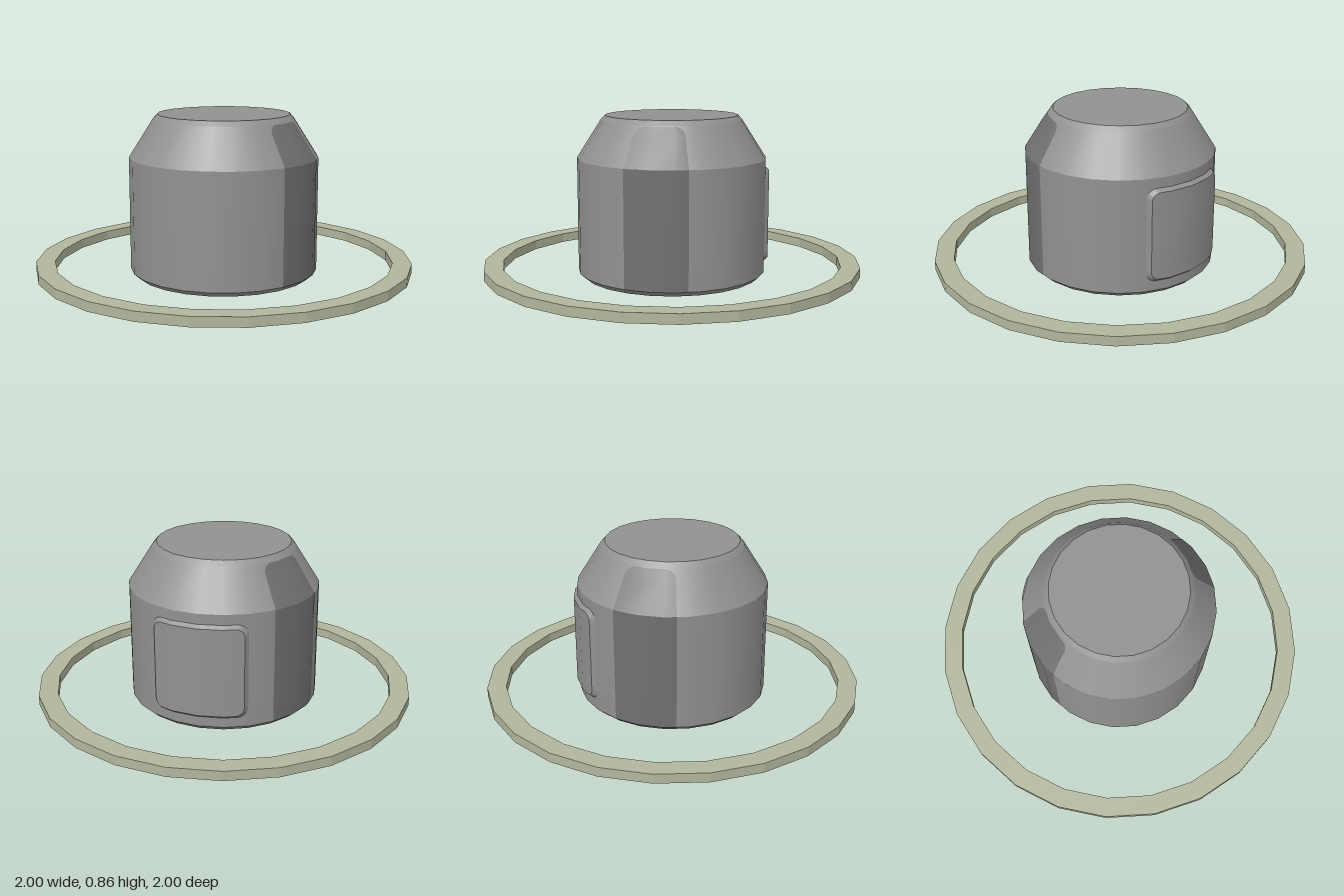
import * as THREE from 'three';

const SIDES = 24;
const STEP = Math.PI * 2 / SIDES;
const DEG = Math.PI / 180;

// point on the faceted 24-sided body: r is the corner radius, a is measured from +z towards +x
function onBody(a, y, r) {
  const off = a - Math.floor(a / STEP + 1e-6) * STEP - STEP / 2;
  const d = r * Math.cos(STEP / 2) / Math.cos(off);
  return [d * Math.sin(a), y, d * Math.cos(a)];
}

// grid of points; each row is { y, r, inset }, columns follow the facet corners
function makeGrid(rows, knots) {
  const first = knots[0], last = knots[knots.length - 1];
  return rows.map(({ y, r, inset }) =>
    knots.map(a => onBody(Math.min(Math.max(a, first + inset), last - inset), y, r)));
}

function gridGeometry(grid) {
  const n = grid[0].length, index = [];
  for (let i = 0; i < grid.length - 1; i++) {
    for (let j = 0; j < n - 1; j++) {
      const a = i * n + j, b = a + n;
      index.push(a, a + 1, b + 1, a, b + 1, b);
    }
  }
  const geo = new THREE.BufferGeometry();
  geo.setAttribute('position', new THREE.Float32BufferAttribute(grid.flat(2), 3));
  geo.setIndex(index);
  geo.computeVertexNormals();
  return geo;
}

// closed outline of a grid, anticlockwise from outside
function outline(grid) {
  const top = grid.length - 1, n = grid[0].length;
  return [
    ...grid[0],
    ...grid.slice(1, top).map(row => row[n - 1]),
    ...[...grid[top]].reverse(),
    ...grid.slice(1, top).map(row => row[0]).reverse(),
  ];
}

function loftGeometry(outer, inner) {
  const pos = [];
  outer.forEach((p, i) => {
    const k = (i + 1) % outer.length;
    pos.push(...p, ...outer[k], ...inner[k], ...p, ...inner[k], ...inner[i]);
  });
  const geo = new THREE.BufferGeometry();
  geo.setAttribute('position', new THREE.Float32BufferAttribute(pos, 3));
  geo.computeVertexNormals();
  return geo;
}

// offsets along and across a rounded corner of radius c
const corner = c => [0, 1, 2, 3, 4, 5].map(i => {
  const t = i / 5 * Math.PI / 2;
  return { along: c * (1 - Math.cos(t)), across: c * (1 - Math.sin(t)) };
});

function roundedRows(y0, y1, r, c) {
  const low = corner(c).map(k => ({ y: y0 + k.along, r, inset: k.across / r }));
  const high = corner(c).map(k => ({ y: y1 - k.along, r, inset: k.across / r })).reverse();
  return [...low, ...high];
}

export function createModel() {
  const model = new THREE.Group();
  const bodyGrey = new THREE.MeshStandardMaterial({ color: 0x919190 });
  bodyGrey.name = 'body grey';
  const panelGrey = new THREE.MeshStandardMaterial({ color: 0x707070 });
  panelGrey.name = 'dark panel grey';
  const ringGreen = new THREE.MeshStandardMaterial({ color: 0xb2b69c });
  ringGreen.name = 'pale olive';

  const add = (name, geo, mat, parent = model) => {
    const mesh = new THREE.Mesh(geo, mat);
    mesh.name = name;
    parent.add(mesh);
    return mesh;
  };

  // body: stacked faceted sections with hard edges between them
  const body = new THREE.Group();
  body.name = 'body';
  model.add(body);
  const profile = [[0.47, 0], [0.5, 0.027], [0.5, 0.63], [0.373, 0.83], [0.35, 0.855]];
  const names = ['bottomChamfer', 'wall', 'shoulder', 'topChamfer'];
  names.forEach((name, i) => {
    const [r0, y0] = profile[i], [r1, y1] = profile[i + 1];
    add(name, new THREE.CylinderGeometry(r1, r0, y1 - y0, SIDES, 1, true), bodyGrey, body)
      .position.y = (y0 + y1) / 2;
  });
  const lid = add('topFace', new THREE.CircleGeometry(0.35, SIDES), bodyGrey, body);
  lid.rotation.x = -Math.PI / 2;
  lid.position.y = 0.855;
  const base = add('bottomFace', new THREE.CircleGeometry(0.47, SIDES), bodyGrey, body);
  base.rotation.x = Math.PI / 2;

  // two dark panels, opposite each other, wrapping up over the shoulder
  const knots = [45, 60, 75, 82.5].map(d => d * DEG);
  const lift = 0.002;
  const wallRows = [0.027, 0.63].map(y => ({ y, r: 0.5 + lift, inset: 0 }));
  const shoulderRows = [{ y: 0.63, r: 0.5 + lift, inset: 0 }];
  for (const k of corner(0.05).reverse()) {
    const t = 0.98 - k.along / 0.237;
    const r = 0.5 - 0.127 * t + lift;
    shoulderRows.push({ y: 0.63 + 0.2 * t, r, inset: k.across / r });
  }
  for (let i = 0; i < 2; i++) {
    const panel = new THREE.Group();
    panel.name = i ? 'rightPanel' : 'leftPanel';
    panel.rotation.y = i * Math.PI;
    add('panelWall', gridGeometry(makeGrid(wallRows, knots)), panelGrey, panel);
    add('panelShoulder', gridGeometry(makeGrid(shoulderRows, knots)), panelGrey, panel);
    model.add(panel);
  }

  // raised, bevelled cover on the back
  const cover = new THREE.Group();
  cover.name = 'backCover';
  model.add(cover);
  const coverKnots = half => [180 - half, 165, 180, 195, 180 + half].map(d => d * DEG);
  const face = makeGrid(roundedRows(0.095, 0.56, 0.52, 0.045), coverKnots(26.5));
  const foot = makeGrid(roundedRows(0.078, 0.578, 0.498, 0.055), coverKnots(29.5));
  add('coverFace', gridGeometry(face), bodyGrey, cover);
  add('coverBevel', loftGeometry(outline(foot), outline(face)), bodyGrey, cover);

  // flat faceted ring around the body
  const circle = r => Array.from({ length: SIDES }, (_, i) =>
    new THREE.Vector2(r * Math.cos(i * STEP), r * Math.sin(i * STEP)));
  const shape = new THREE.Shape(circle(1));
  shape.holes.push(new THREE.Path(circle(0.9)));
  const ring = add('ring', new THREE.ExtrudeGeometry(shape, { depth: 0.05, bevelEnabled: false }), ringGreen);
  ring.rotation.x = -Math.PI / 2;
  ring.position.y = 0.028;

  return model;
}
